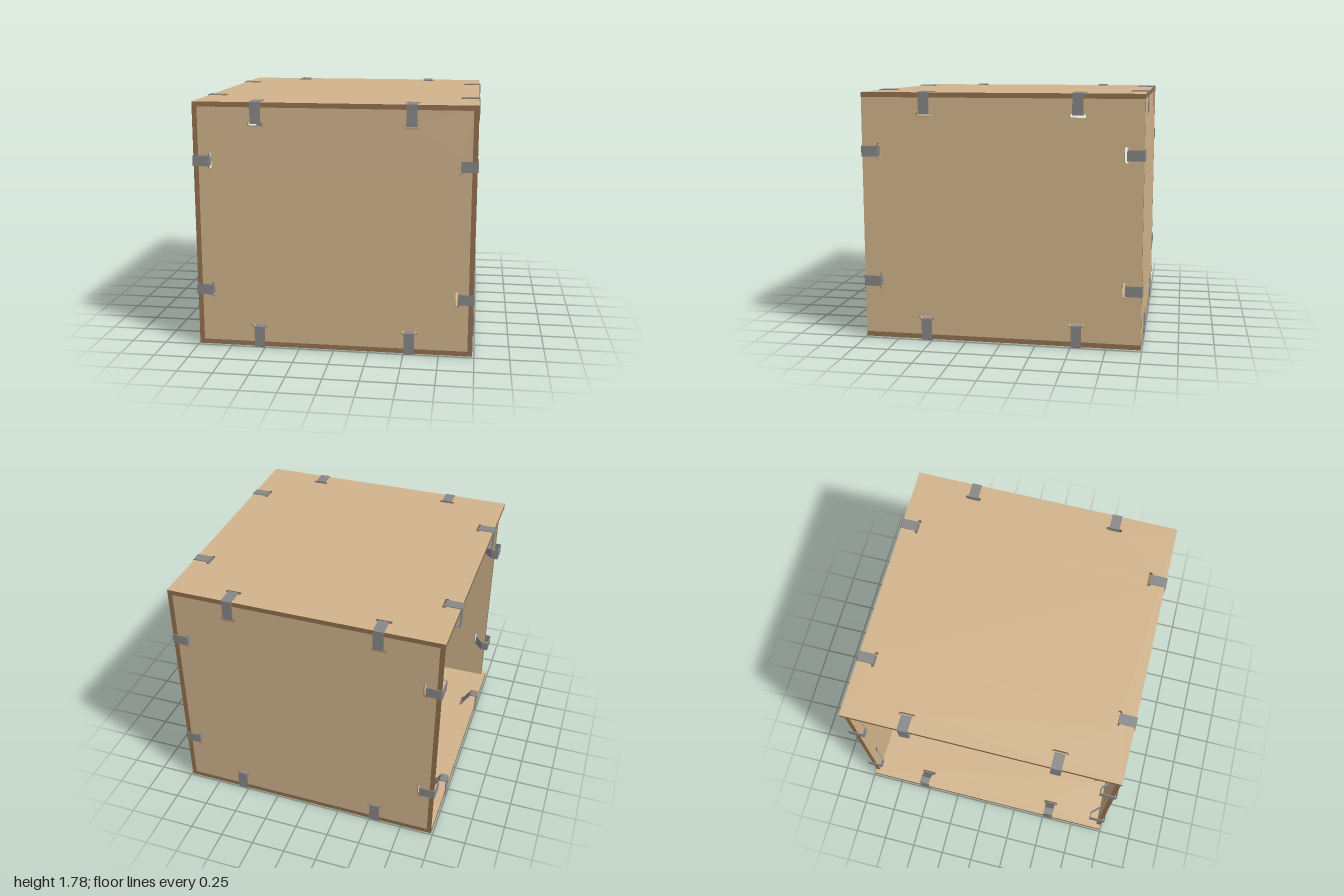
import * as THREE from 'three';

const tan = new THREE.MeshStandardMaterial({ color: 0xd2b48c });
tan.name = 'tan board';
const brown = new THREE.MeshStandardMaterial({ color: 0x93724f });
brown.name = 'brown board edge';
const grey = new THREE.MeshStandardMaterial({ color: 0x888888 });
grey.name = 'grey strap';

const T = 0.035;                       // board thickness
const t = 0.007;                       // strap thickness
const HALF = [0.988, 0.8855, 0.993];   // half size of the box on x, y, z
const SLOT = [0.873, 0.7325, 0.873];   // slot distance from the centre
const PLACE = [0.54, 0.47, 0.54];      // strap position along an edge
const SIGNS = [-1, 1];

// Turns a shape drawn in x, y and extruded along z so that it is extruded along the given axis
function orient(geometry, axis) {
  const e = [new THREE.Vector3(1, 0, 0), new THREE.Vector3(0, 1, 0), new THREE.Vector3(0, 0, 1)];
  const m = new THREE.Matrix4().makeBasis(e[(axis + 1) % 3], e[(axis + 2) % 3], e[axis]);
  return geometry.applyMatrix4(m);
}

// Round-ended slot
function slot(cx, cy, alongX) {
  const r = 0.013, half = 0.057 - r, p = new THREE.Path();
  if (alongX) {
    p.absarc(cx + half, cy, r, -Math.PI / 2, Math.PI / 2);
    p.absarc(cx - half, cy, r, Math.PI / 2, Math.PI * 1.5);
  } else {
    p.absarc(cx, cy + half, r, 0, Math.PI);
    p.absarc(cx, cy - half, r, Math.PI, Math.PI * 2);
  }
  p.closePath();
  return p;
}

// Board facing along an axis, with two slots near each edge
function board(name, axis, sign, halfU, halfV) {
  const u = (axis + 1) % 3, v = (axis + 2) % 3;
  const shape = new THREE.Shape([
    new THREE.Vector2(-halfU, -halfV), new THREE.Vector2(halfU, -halfV),
    new THREE.Vector2(halfU, halfV), new THREE.Vector2(-halfU, halfV),
  ]);
  for (const a of SIGNS) for (const b of SIGNS) {
    shape.holes.push(slot(a * SLOT[u], b * PLACE[v], false));
    shape.holes.push(slot(a * PLACE[u], b * SLOT[v], true));
  }
  const g = new THREE.ExtrudeGeometry(shape, { depth: T, bevelEnabled: false, curveSegments: 6 });
  g.translate(0, 0, sign > 0 ? HALF[axis] - T : -HALF[axis]);
  const mesh = new THREE.Mesh(orient(g, axis), [tan, brown]);
  mesh.name = name;
  return mesh;
}

// Closed strap looped round an edge and through the slots of both boards
function strap(axis, signU, signV, along) {
  const u = (axis + 1) % 3, v = (axis + 2) % 3;
  const U = HALF[u], V = HALF[v], a = SLOT[u] + 0.004, b = SLOT[v] + 0.004;
  const points = (list) => list.map(([x, y]) => new THREE.Vector2(x * signU, y * signV));
  const shape = new THREE.Shape(points([
    [a, V + t], [U + 0.002, V + t], [U + t, V + 0.002], [U + t, b],
    [U - T - 0.012, b], [a, V - T - 0.012],
  ]));
  shape.holes.push(new THREE.Path(points([
    [a + t, V + 0.001], [U + 0.001, V + 0.001], [U + 0.001, b + t],
    [U - T - 0.008, b + t], [a + t, V - T - 0.008],
  ])));
  const width = 0.075;
  const g = new THREE.ExtrudeGeometry(shape, { depth: width, bevelEnabled: false });
  g.translate(0, 0, along - width / 2);
  const mesh = new THREE.Mesh(orient(g, axis), grey);
  mesh.name = 'strap';
  return mesh;
}

export function createModel() {
  const model = new THREE.Group();
  model.name = 'strappedBox';
  const box = new THREE.Group();
  box.name = 'box';
  box.position.y = HALF[1] + t;
  model.add(box);

  // Boards: lid and base cover the walls, side wall covers the ends of front and back
  const [X, Y, Z] = HALF;
  box.add(board('lid', 1, 1, Z, X), board('base', 1, -1, Z, X));
  box.add(board('frontWall', 2, 1, X - T, Y - T), board('backWall', 2, -1, X - T, Y - T));
  box.add(board('leftWall', 0, 1, Y - T, Z));

  // Open side: only the narrow upright edges
  for (const s of SIGNS) {
    const strip = new THREE.Mesh(new THREE.PlaneGeometry(T, 2 * (Y - T)), brown);
    strip.name = 'openSideEdge';
    strip.position.set(-X + T / 2, 0, s * Z);
    if (s < 0) strip.rotation.y = Math.PI;
    box.add(strip);
  }

  // Two straps on each of the twelve edges
  const straps = new THREE.Group();
  straps.name = 'straps';
  for (let axis = 0; axis < 3; axis++)
    for (const a of SIGNS) for (const b of SIGNS) for (const c of SIGNS)
      straps.add(strap(axis, a, b, c * PLACE[axis]));
  box.add(straps);
  return model;
}
